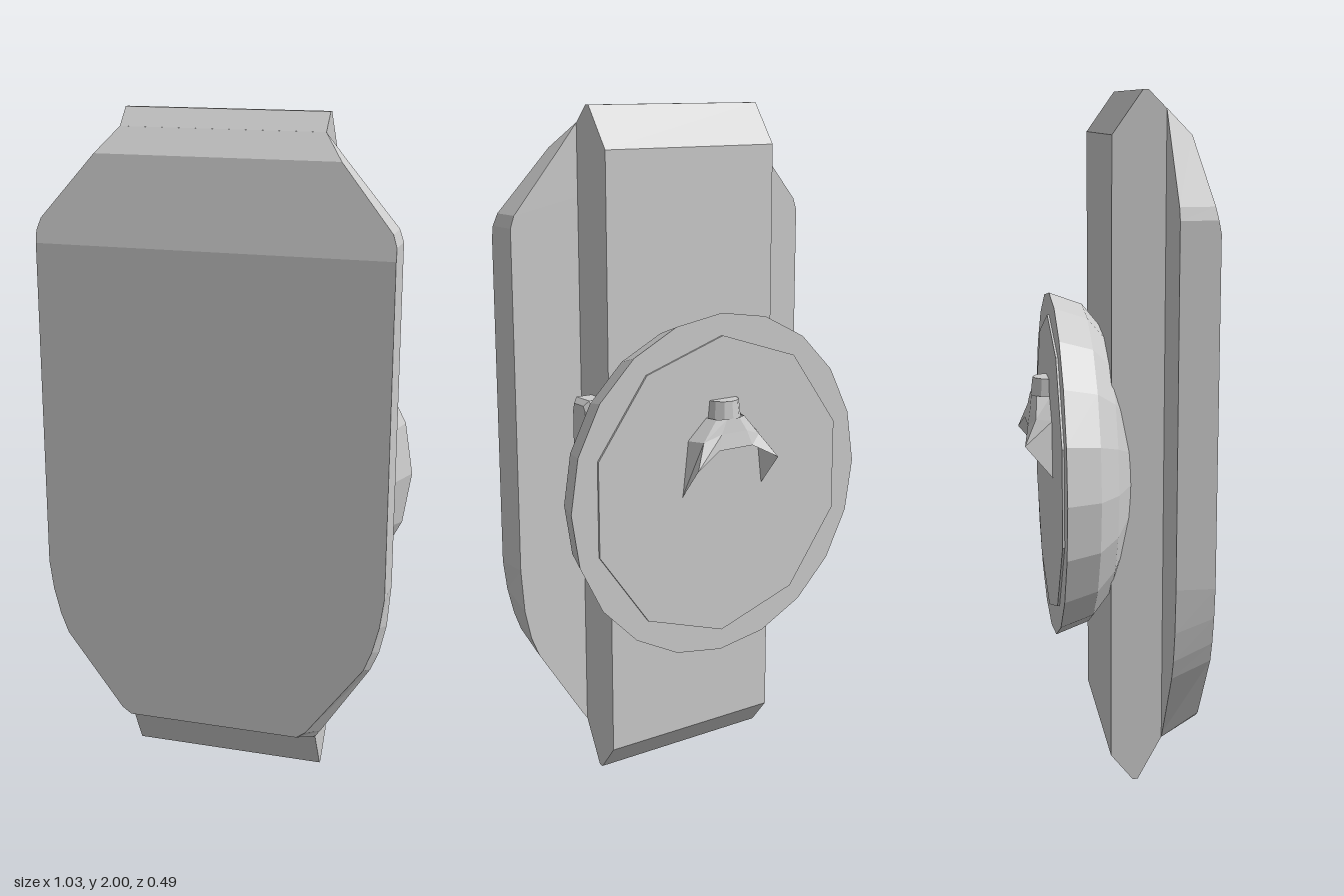
import * as THREE from 'three';

const grey = new THREE.MeshStandardMaterial({ color: 0xcccccc, flatShading: true });
const greyThin = new THREE.MeshStandardMaterial({ color: 0xcccccc, flatShading: true, side: THREE.DoubleSide });

function part(name, geometry, material = grey) {
  const mesh = new THREE.Mesh(geometry, material);
  mesh.name = name;
  return mesh;
}

// Extrudes a [z, y] outline along x, starting at x0
function sideExtrude(points, x0, depth, bevel = 0) {
  const shape = new THREE.Shape(points.map(([z, y]) => new THREE.Vector2(-z, y)));
  const geometry = new THREE.ExtrudeGeometry(shape, {
    depth: depth - bevel, bevelEnabled: bevel > 0, bevelSize: bevel, bevelOffset: -bevel,
    bevelThickness: bevel, bevelSegments: 1,
  });
  return geometry.rotateY(Math.PI / 2).translate(x0, 0, 0);
}

// Joins rows of [x, y, z] points, running upwards, into a faceted surface
function loft(rows, closed) {
  const n = rows[0].length;
  const index = [];
  for (let i = 0; i < rows.length - 1; i++) {
    for (let j = 0; j < (closed ? n : n - 1); j++) {
      const k = (j + 1) % n;
      const a = i * n + j, b = i * n + k;
      index.push(a, b, b + n, a, b + n, a + n);
    }
  }
  if (closed) {
    const top = (rows.length - 1) * n;
    for (let j = 1; j < n - 1; j++) index.push(0, j + 1, j, top, top + j, top + j + 1);
  }
  const geometry = new THREE.BufferGeometry();
  geometry.setAttribute('position', new THREE.Float32BufferAttribute(rows.flat(2), 3));
  geometry.setIndex(index);
  const faceted = geometry.toNonIndexed();
  faceted.computeVertexNormals();
  return faceted;
}

export function createModel() {
  const model = new THREE.Group();
  model.name = 'device';

  // Central body with pointed top and bottom
  model.add(part('body', sideExtrude([
    [-0.01, 0.08], [0.055, 0], [0.07, 0], [0.14, 0.13], [0.14, 1.95],
    [0.09, 2], [0.075, 2], [-0.01, 1.88],
  ], -0.295, 0.59)));

  // Front shell: back half width, back y, front half width, front y, front z
  const shellRows = [
    [0.295, 0.13, 0.262, 0.18, 0.25],
    [0.31, 0.15, 0.29, 0.2, 0.25],
    [0.46, 0.38, 0.46, 0.43, 0.25],
    [0.485, 0.44, 0.483, 0.49, 0.25],
    [0.505, 0.53, 0.503, 0.57, 0.25],
    [0.515, 0.66, 0.515, 0.66, 0.25],
    [0.515, 1.63, 0.515, 1.63, 0.25],
    [0.515, 1.665, 0.515, 1.665, 0.243],
    [0.503, 1.7, 0.503, 1.7, 0.236],
    [0.352, 1.88, 0.352, 1.88, 0.2],
    [0.295, 1.95, 0.295, 1.95, 0.141],
  ];
  model.add(part('frontShell', loft(shellRows.map(([xb, yb, xf, yf, zf]) => [
    [-xb, yb, 0.14], [-xf, yf, zf], [xf, yf, zf], [xb, yb, 0.14],
  ]), true)));

  // Round domed mount on the back
  const dome = [[0, -0.055], [0.16, -0.053], [0.3, -0.045], [0.41, 0.003], [0.48, 0.06], [0.515, 0.157], [0, 0.157]];
  model.add(part('backDome', new THREE.LatheGeometry(
    dome.map(([r, y]) => new THREE.Vector2(r, y)), 20,
  ).rotateX(-Math.PI / 2).translate(0, 0.905, 0)));

  // Thin ten-sided plate on the flat face of the mount
  model.add(part('backPlate', new THREE.CylinderGeometry(0.45, 0.45, 0.012, 10)
    .rotateX(Math.PI / 2).translate(0, 0.905, -0.157)));

  // Flared clip with two wings
  const clip = new THREE.Group();
  clip.name = 'clip';
  const clipRows = [
    [[0.145, 0.89, -0.16], [0.145, 0.99, -0.243], [0.06, 1.035, -0.228]],
    [[0.125, 1.06, -0.16], [0.1, 1.06, -0.207], [0.045, 1.08, -0.22]],
    [[0.06, 1.12, -0.16], [0.05, 1.12, -0.2], [0.022, 1.12, -0.214]],
  ];
  clip.add(part('clipHood', loft(clipRows.map((row) => [
    ...row, ...row.map(([x, y, z]) => [-x, y, z]).reverse(),
  ]), false), greyThin));
  clip.add(part('clipTip', new THREE.CylinderGeometry(0.048, 0.055, 0.06, 12).translate(0, 1.14, -0.16)));
  model.add(clip);

  // Two buttons on the left side
  model.add(part('largeButton', sideExtrude([
    [0, 0.96], [0.02, 0.935], [0.08, 0.935], [0.095, 0.98],
    [0.095, 1.14], [0.085, 1.175], [0.015, 1.175], [0, 1.15],
  ], 0.285, 0.075, 0.015)));
  model.add(part('smallButton', sideExtrude([
    [0, 0.79], [0.015, 0.765], [0.08, 0.765], [0.092, 0.785],
    [0.092, 0.87], [0.08, 0.887], [0.015, 0.887], [0, 0.87],
  ], 0.285, 0.06, 0.01)));

  return model;
}
